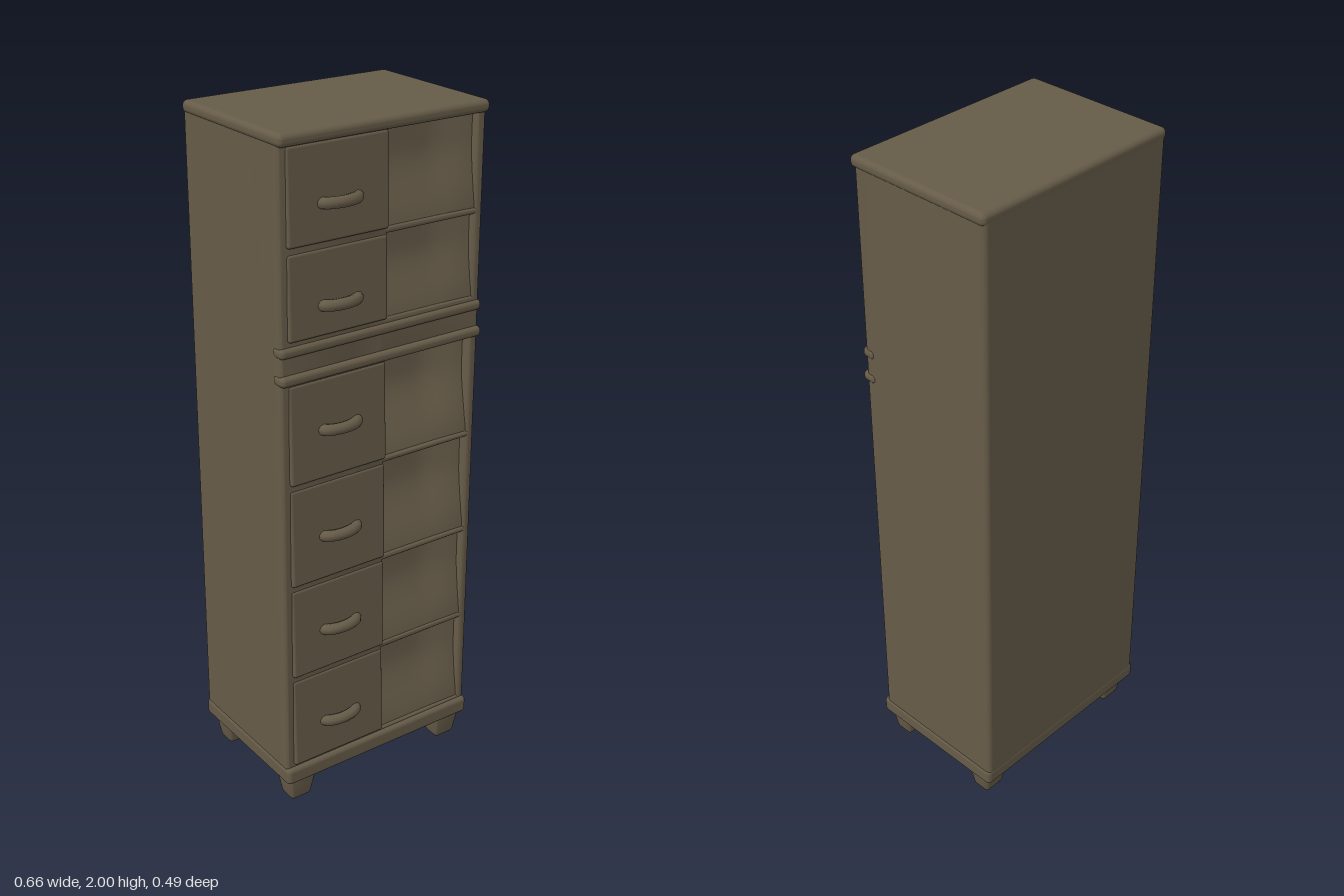
import * as THREE from 'three';
import { toCreasedNormals } from 'three/addons/utils/BufferGeometryUtils.js';
import { RoundedBoxGeometry } from 'three/addons/geometries/RoundedBoxGeometry.js';

const wood = new THREE.MeshStandardMaterial({ color: 0x665b48 });
wood.name = 'brown wood';

function add(parent, name, geometry, x = 0, y = 0, z = 0) {
  const mesh = new THREE.Mesh(geometry, wood);
  mesh.name = name;
  mesh.position.set(x, y, z);
  parent.add(mesh);
  return mesh;
}

// Rounded block given by its limits on each axis
function block(parent, name, [x0, x1], [y0, y1], [z0, z1], r) {
  return add(parent, name, new RoundedBoxGeometry(x1 - x0, y1 - y0, z1 - z0, 3, r),
    (x0 + x1) / 2, (y0 + y1) / 2, (z0 + z1) / 2);
}

function rect(target, x0, x1, y0, y1) {
  target.moveTo(x0, y0);
  target.lineTo(x1, y0);
  target.lineTo(x1, y1);
  target.lineTo(x0, y1);
  target.closePath();
  return target;
}

// Front frame with one opening per cubby and softened edges
function frameGeometry(cubbies) {
  const b = 0.01;
  const shape = rect(new THREE.Shape(), -0.328 + b, 0.328 - b, 0.1, 1.98);
  for (const [y0, y1] of cubbies) {
    shape.holes.push(rect(new THREE.Path(), 0.01 - b, 0.3 + b, y0 - b, y1 + b));
  }
  const g = new THREE.ExtrudeGeometry(shape, {
    depth: 0.095, bevelEnabled: true, bevelThickness: b, bevelSize: b, bevelSegments: 3,
  });
  g.translate(0, 0, 0.1);
  return toCreasedNormals(g, 0.7);
}

// Cubby back: deepest at the upper left, sweeping forward to the floor and right side
function cubbyGeometry(width, height, depth) {
  const g = new THREE.PlaneGeometry(width, height, 14, 14);
  const p = g.attributes.position;
  for (let i = 0; i < p.count; i++) {
    const u = p.getX(i) / width + 0.5;
    const v = p.getY(i) / height + 0.5;
    const side = 1 - THREE.MathUtils.smoothstep(u, 0.55, 1.05);
    const floor = THREE.MathUtils.smoothstep(v, -0.1, 0.7);
    p.setZ(i, -depth * floor * (0.35 + 0.65 * side));
  }
  g.computeVertexNormals();
  return g;
}

// Arched pull
function handleGeometry() {
  const curve = new THREE.CatmullRomCurve3([
    [-0.062, -0.022], [-0.048, 0.004], [0, 0.016], [0.048, 0.004], [0.062, -0.022],
  ].map(([x, z]) => new THREE.Vector3(x, 0, z)));
  return new THREE.TubeGeometry(curve, 20, 0.016, 10);
}

// Tapered rounded foot
function footGeometry() {
  const g = new RoundedBoxGeometry(0.1, 0.11, 0.085, 4, 0.016);
  const p = g.attributes.position;
  for (let i = 0; i < p.count; i++) {
    const s = 0.66 + 0.34 * THREE.MathUtils.clamp((p.getY(i) + 0.055) / 0.09, 0, 1);
    p.setX(i, p.getX(i) * s);
    p.setZ(i, p.getZ(i) * s);
  }
  g.computeVertexNormals();
  return toCreasedNormals(g, 0.9);
}

export function createModel() {
  const cabinet = new THREE.Group();
  cabinet.name = 'cabinet';

  // Rows from top to bottom: floor, ceiling, handle height, cubby depth
  const rows = [
    [1.71, 1.965, 1.81, 0.05],
    [1.46, 1.69, 1.54, 0.045],
    [1.05, 1.335, 1.19, 0.07],
    [0.74, 1.03, 0.87, 0.06],
    [0.445, 0.72, 0.57, 0.05],
    [0.145, 0.425, 0.26, 0.05],
  ];

  // Carcass
  block(cabinet, 'body', [-0.328, 0.328], [0.085, 1.99], [-0.245, 0.13], 0.015);
  add(cabinet, 'frontFrame', frameGeometry(rows));
  block(cabinet, 'top', [-0.332, 0.332], [1.965, 2], [-0.246, 0.22], 0.015);
  block(cabinet, 'base', [-0.332, 0.332], [0.08, 0.135], [-0.246, 0.218], 0.014);

  // Moulded band between upper and lower sections
  block(cabinet, 'bandLowerRoll', [-0.332, 0.332], [1.338, 1.368], [0.17, 0.219], 0.013);
  block(cabinet, 'bandUpperRoll', [-0.332, 0.332], [1.415, 1.445], [0.17, 0.215], 0.013);

  const handle = handleGeometry();
  for (const [y0, y1, handleY, depth] of rows) {
    // Drawers lean slightly outward at the bottom
    const drawer = block(cabinet, 'drawer', [-0.305, 0.008], [y0 - 0.003, y1], [0.185, 0.212], 0.008);
    drawer.rotation.x = -0.025;
    add(cabinet, 'handle', handle, -0.145, handleY, 0.215);
    add(cabinet, 'cubbyBack', cubbyGeometry(0.31, y1 - y0 + 0.02, depth),
      0.155, (y0 + y1) / 2, 0.202);
  }

  // Feet
  const foot = footGeometry();
  for (const x of [-0.27, 0.27]) {
    for (const z of [0.163, -0.182]) add(cabinet, 'foot', foot, x, 0.055, z);
  }
  return cabinet;
}
